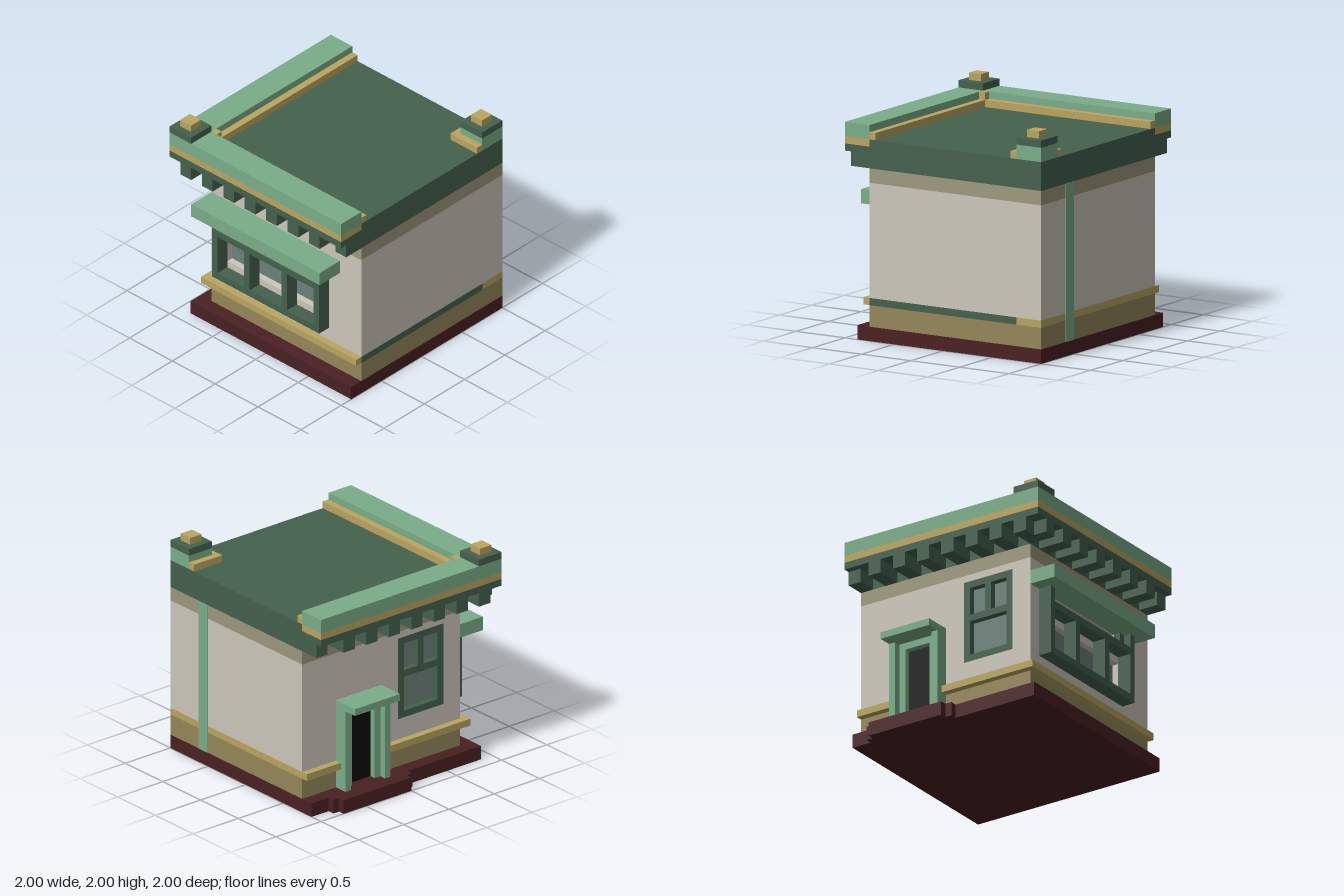
import * as THREE from 'three';

const U = 1 / 16; // every size below is in sixteenths

function material(name, color) {
  const m = new THREE.MeshStandardMaterial({ color });
  m.name = name;
  return m;
}

export function createModel() {
  const root = new THREE.Group();
  root.name = 'cornerShop';

  const cream = material('cream', 0xcdc7bb);
  const beige = material('beige', 0x9d987d);
  const olive = material('olive', 0x95875a);
  const gold = material('gold', 0xbba561);
  const mint = material('lightGreen', 0x7aad88);
  const green = material('darkGreen', 0x45614e);
  const maroon = material('maroon', 0x4a2022);
  const glass = material('glass', 0x6d817b);
  const black = material('black', 0x0b0b0b);

  // Box given by its limits on each axis
  function box(name, mat, x0, x1, y0, y1, z0, z1) {
    const geo = new THREE.BoxGeometry((x1 - x0) * U, (y1 - y0) * U, (z1 - z0) * U);
    const mesh = new THREE.Mesh(geo, mat);
    mesh.name = name;
    mesh.position.set((x0 + x1) / 2 * U, (y0 + y1) / 2 * U, (z0 + z1) / 2 * U);
    root.add(mesh);
    return mesh;
  }

  // Wall skin one unit thick with rectangular openings, each [u0, u1, y0, y1]
  function wallSkin(name, u0, u1, y0, y1, openings) {
    const corners = (a, b, c, d) =>
      [[a, c], [b, c], [b, d], [a, d]].map(([u, v]) => new THREE.Vector2(u * U, v * U));
    const shape = new THREE.Shape(corners(u0, u1, y0, y1));
    for (const o of openings) shape.holes.push(new THREE.Path(corners(...o).reverse()));
    const geo = new THREE.ExtrudeGeometry(shape, { depth: U, bevelEnabled: false });
    const mesh = new THREE.Mesh(geo, cream);
    mesh.name = name;
    root.add(mesh);
    return mesh;
  }

  // Foundation with stepped entrance
  box('foundation', maroon, -14, 16, 0, 2, -16, 14);
  box('innerDoorStep', maroon, -15, -14, 0, 2, -13, 1);
  box('outerDoorStep', maroon, -16, -15, 0, 2, -12, 0);

  // Plinth and its moulding
  box('plinth', olive, -12, 16, 2, 5, -16, 12);
  box('plinthBand', gold, -12, 16, 5, 6, -16, 12);
  box('frontMoulding', gold, -13, 16, 5, 6, 12, 13);
  box('sideMouldingBack', gold, -13, -12, 5, 6, -16, -10);
  box('sideMouldingFront', gold, -13, -12, 5, 6, -2, 12);
  box('leftBandStripe', green, 16, 16.05, 5, 6, -12, 12);

  // Walls
  box('wallCore', cream, -11, 16, 6, 22, -16, 11);
  wallSkin('frontWall', -12, 16, 6, 22, [[-9, 9, 10, 14], [-8, 8, 16, 18]]).position.z = 11 * U;
  const side = wallSkin('sideWall', -11, 16, 6, 22, [[-9, -1, 9, 21]]);
  side.rotation.y = -Math.PI / 2; // turns so the openings run along z
  side.scale.x = 1;
  side.geometry.dispose();
  root.remove(side);
  // Side wall around the tall window opening
  box('sideWallBack', cream, -12, -11, 6, 22, -16, 1);
  box('sideWallFront', cream, -12, -11, 6, 22, 9, 11);
  box('sideWallBelow', cream, -12, -11, 6, 9, 1, 9);
  box('sideWallAbove', cream, -12, -11, 21, 22, 1, 9);
  box('frieze', beige, -12, 16, 22, 24, -16, 12);
  box('backDrainStrip', mint, 8, 10, 2, 24, -16.05, -16);

  // Front window
  box('frontGlass', glass, -9, 9, 10, 14, 11, 11.05);
  box('frontTransomGlass', glass, -8, 8, 16, 18, 11, 11.05);
  for (const s of [-1, 1]) {
    box('windowStile', green, s * 9.5 - 0.5, s * 9.5 + 0.5, 8, 18, 12, 14);
    box('transomStile', green, s * 8.5 - 0.5, s * 8.5 + 0.5, 16, 18, 12, 13);
    box('windowMullion', green, s * 3.5 - 0.5, s * 3.5 + 0.5, 9, 15, 12, 14);
  }
  box('windowSill', green, -9, 9, 8, 9, 12, 14);
  box('windowRail', green, -9, 9, 15, 16, 12, 14);
  box('windowCanopy', mint, -12, 12, 18, 20, 12, 16);

  // Side sash window, flush with the wall
  box('sideGlass', glass, -11.05, -11, 9, 21, 1, 9);
  for (const z of [1, 8]) box('sashStile', green, -12, -11, 9, 21, z, z + 1);
  for (const y of [9, 15, 20]) box('sashRail', green, -12, -11, y, y + 1, 2, 8);
  box('sashMullion', green, -12, -11, 16, 20, 4.5, 5.5);

  // Doorway
  box('door', black, -12.08, -12, 2, 14, -8, -4);
  for (const s of [-1, 1]) {
    const outer = -6 + s * 3.5, inner = -6 + s * 2.5;
    box('doorJamb', mint, -14, -12, 2, 14, outer - 0.5, outer + 0.5);
    box('innerDoorJamb', mint, -13, -12, 2, 14, inner - 0.5, inner + 0.5);
  }
  box('doorLintel', mint, -13, -12, 13, 14, -8, -4);
  box('doorCanopy', mint, -16, -12, 14, 15, -10, -2);

  // Roof slab and overhanging cornice on the two street sides
  box('roof', green, -12, 16, 24, 28, -16, 12);
  for (const [name, mat, y0, y1] of [
    ['Fascia', green, 26, 27], ['CorniceBand', gold, 27, 28], ['Parapet', mint, 28, 30]]) {
    box('front' + name, mat, -16, 16, y0, y1, 12, 16);
    box('side' + name, mat, -16, -12, y0, y1, -16, 12);
  }

  // Dentils, mirrored round the corner; the end ones are shorter
  for (let i = 0; i < 8; i++) {
    const p = -14 + 4 * i, reach = i === 7 ? 15 : 16;
    box('frontDentil', green, p, p + 2, 24, 26, 12, reach);
    box('sideDentil', green, -reach, -12, 24, 26, -p - 2, -p);
  }

  // Gold trim inside the parapet
  box('frontRoofTrim', gold, -11, 16, 28, 29, 11, 12);
  box('sideRoofTrim', gold, -12, -11, 28, 29, -16, 11);
  box('cornerRoofTrim', gold, -12, -11, 28, 30, 11, 12);

  // Back corner pillar with its trim
  box('pillar', mint, 12, 16, 28, 30, -16, -12);
  box('pillarTrimSide', gold, 11, 12, 28, 29, -16, -11);
  box('pillarTrimFront', gold, 12, 16, 28, 29, -12, -11);

  // Caps on the two opposite corners
  for (const s of [-1, 1]) {
    box('pillarCap', green, s * 14 - 2, s * 14 + 2, 30, 31, -s * 14 - 2, -s * 14 + 2);
    box('pillarFinial', gold, s * 14 - 1, s * 14 + 1, 31, 32, -s * 14 - 1, -s * 14 + 1);
  }

  return root;
}
